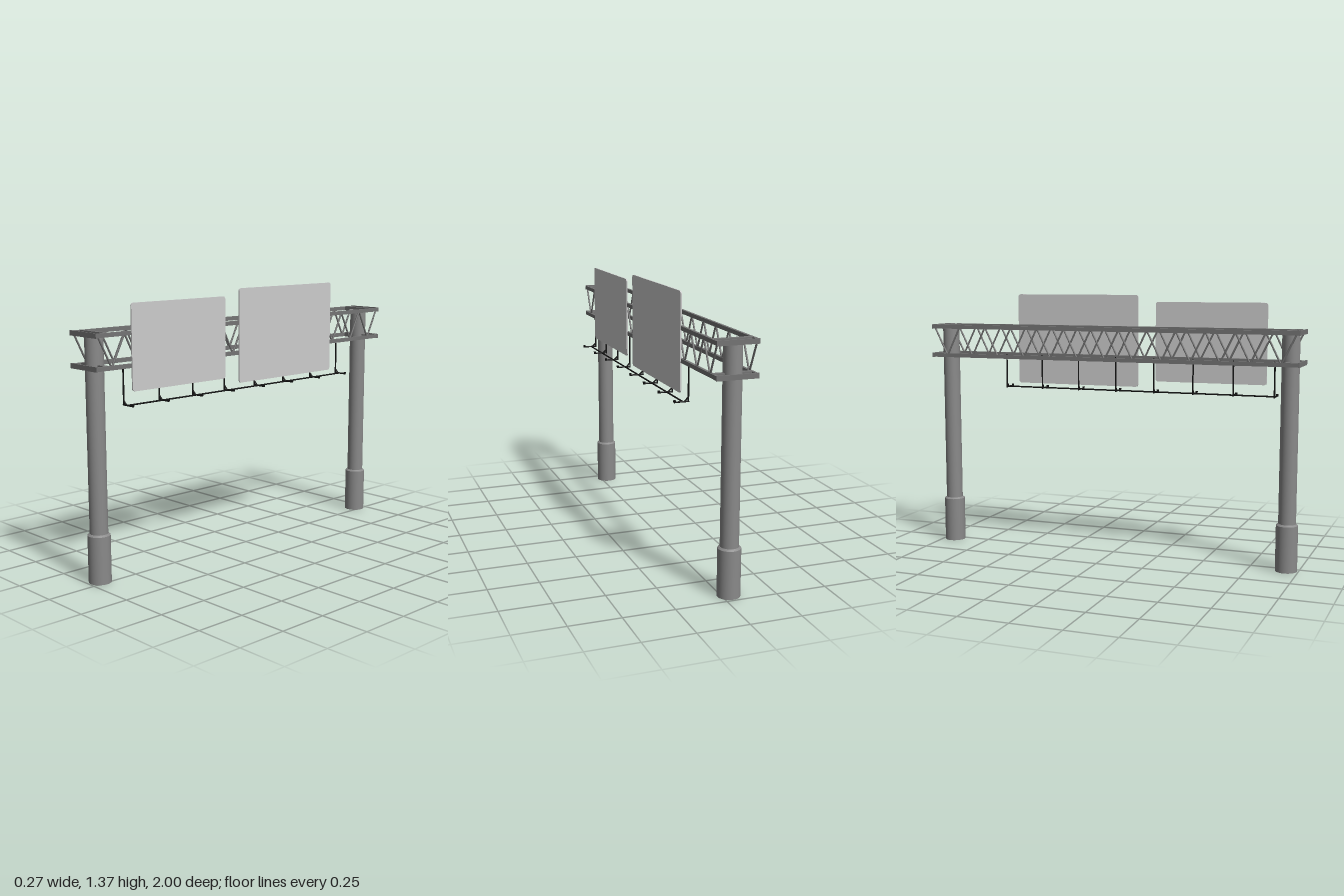
import * as THREE from 'three';

const postGrey = new THREE.MeshStandardMaterial({ name: 'post grey', color: 0x8a8a8a });
const trussGrey = new THREE.MeshStandardMaterial({ name: 'truss grey', color: 0x747474 });
const signGrey = new THREE.MeshStandardMaterial({ name: 'sign light grey', color: 0xcccccc });
const lampBlack = new THREE.MeshStandardMaterial({ name: 'lamp black', color: 0x111111 });

const BACK_X = -0.128, FRONT_X = 0.06, MID_X = -0.034;
const TOP_Y = 1.192, LOW_Y = 1.039;

function add(parent, name, geometry, material, x = 0, y = 0, z = 0) {
  const mesh = new THREE.Mesh(geometry, material);
  mesh.name = name;
  mesh.position.set(x, y, z);
  parent.add(mesh);
  return mesh;
}

function box(parent, name, size, material, x, y, z) {
  return add(parent, name, new THREE.BoxGeometry(...size), material, x, y, z);
}

// Round rod between two points
function rod(parent, name, a, b, radius, material) {
  const from = new THREE.Vector3(...a), to = new THREE.Vector3(...b);
  const dir = to.clone().sub(from);
  const mesh = add(parent, name, new THREE.CylinderGeometry(radius, radius, dir.length(), 8), material);
  mesh.position.copy(from).add(to).multiplyScalar(0.5);
  mesh.quaternion.setFromUnitVectors(new THREE.Vector3(0, 1, 0), dir.normalize());
  return mesh;
}

// Round post with a wider bevelled foot and a cap flange
function makePost(z) {
  const post = new THREE.Group();
  post.name = 'post';
  post.position.set(MID_X, 0, z);
  add(post, 'shaft', new THREE.CylinderGeometry(0.044, 0.044, 0.98, 32), postGrey, 0, 0.69, 0);
  add(post, 'foot', new THREE.CylinderGeometry(0.055, 0.055, 0.234, 32), postGrey, 0, 0.117, 0);
  add(post, 'footBevel', new THREE.CylinderGeometry(0.046, 0.055, 0.008, 32), postGrey, 0, 0.238, 0);
  add(post, 'cap', new THREE.CylinderGeometry(0.054, 0.054, 0.012, 32), postGrey, 0, 1.184, 0);
  return post;
}

// Box truss: four chords, two zigzag sides and cross bars
function makeTruss() {
  const truss = new THREE.Group();
  truss.name = 'truss';
  const width = FRONT_X - BACK_X;
  for (const y of [TOP_Y, LOW_Y]) {
    for (const x of [BACK_X, FRONT_X]) {
      box(truss, 'chord', [0.014, 0.02, 1.99], trussGrey, x, y, 0);
    }
    for (const s of [-1, 1]) {
      box(truss, 'endBar', [width + 0.015, 0.024, 0.007], trussGrey, MID_X, y, s * 0.996);
      box(truss, 'postBar', [width, 0.022, 0.025], trussGrey, MID_X, y, s * 0.938);
    }
  }
  const steps = 26, step = 0.0758;
  for (const x of [BACK_X, FRONT_X]) {
    for (let i = 0; i < steps; i++) {
      const z = (i - steps / 2) * step;
      const [y0, y1] = i % 2 ? [LOW_Y, TOP_Y] : [TOP_Y, LOW_Y];
      rod(truss, 'diagonal', [x, y0, z], [x, y1, z + step], 0.0048, trussGrey);
    }
  }
  return truss;
}

// Thin panel with rounded corners, facing +x
function makeSign(name, z0, z1, y0, y1) {
  const w = (z1 - z0) / 2, h = (y1 - y0) / 2, r = 0.014;
  const shape = new THREE.Shape();
  shape.absarc(w - r, h - r, r, 0, Math.PI / 2);
  shape.absarc(-w + r, h - r, r, Math.PI / 2, Math.PI);
  shape.absarc(-w + r, -h + r, r, Math.PI, Math.PI * 1.5);
  shape.absarc(w - r, -h + r, r, Math.PI * 1.5, Math.PI * 2);
  const geometry = new THREE.ExtrudeGeometry(shape, { depth: 0.007, bevelEnabled: false, curveSegments: 6 });
  geometry.rotateY(Math.PI / 2);
  const sign = new THREE.Group();
  sign.name = name;
  add(sign, 'panel', geometry, signGrey, 0.0635, (y0 + y1) / 2, (z0 + z1) / 2);
  return sign;
}

// Hangers, arms and small lamps joined by a long rail
function makeLamps() {
  const lamps = new THREE.Group();
  lamps.name = 'signLighting';
  const first = -0.645, gap = 0.2124, count = 8, y = 0.86, x = 0.055;
  for (let i = 0; i < count; i++) {
    const z = first + i * gap;
    rod(lamps, 'hanger', [x, LOW_Y, z], [x, y - 0.004, z], 0.004, lampBlack);
    rod(lamps, 'arm', [x - 0.003, y, z], [0.124, y, z], 0.004, lampBlack);
    rod(lamps, 'brace', [x, y + 0.02, z], [x + 0.02, y, z], 0.004, lampBlack);
    add(lamps, 'lamp', new THREE.CylinderGeometry(0.007, 0.005, 0.012, 12), lampBlack, 0.124, y + 0.003, z);
  }
  rod(lamps, 'rail', [0.083, y, first], [0.083, y, first + gap * (count - 1)], 0.004, lampBlack);
  return lamps;
}

export function createModel() {
  const model = new THREE.Group();
  model.name = 'signGantry';
  model.add(makePost(-0.938), makePost(0.938), makeTruss());
  model.add(makeSign('smallSign', 0.211, 0.799, 0.918, 1.33));
  model.add(makeSign('largeSign', -0.575, 0.114, 0.885, 1.365));
  model.add(makeLamps());
  return model;
}
